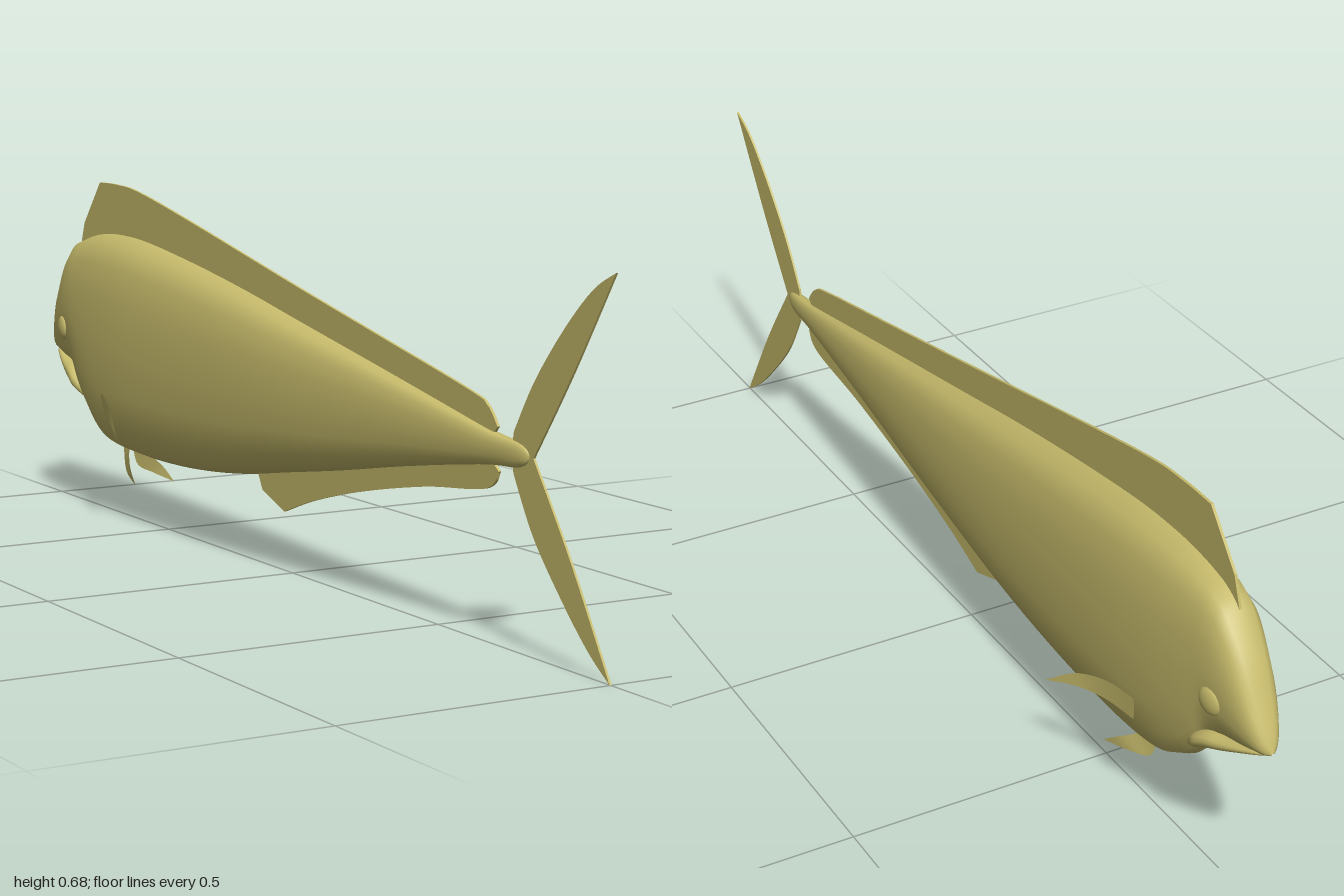
import * as THREE from 'three';

const skin = new THREE.MeshStandardMaterial({ color: 0xc8bc6c });
skin.name = 'olive gold skin';
const finSkin = skin.clone();
finSkin.name = 'olive gold fin';
finSkin.side = THREE.DoubleSide;

// Smooth closed hull through stations [z, top, bottom, halfWidth]
function loft(stations, steps, sides = 16) {
  const heights = new THREE.CatmullRomCurve3(
    stations.map(([z, t, b]) => new THREE.Vector3(t, b, z)), false, 'catmullrom', 0.5);
  const widths = new THREE.CatmullRomCurve3(
    stations.map(([z, , , w]) => new THREE.Vector3(w, 0, z)), false, 'catmullrom', 0.5);
  const bulge = (v, e) => Math.sign(v) * Math.abs(v) ** e;
  const pos = [], index = [];
  for (let i = 0; i <= steps; i++) {
    const h = heights.getPoint(i / steps), w = widths.getPoint(i / steps).x;
    for (let j = 0; j < sides; j++) {
      const a = (j / sides) * Math.PI * 2;
      pos.push(w * bulge(Math.sin(a), 0.72),
        (h.x + h.y) / 2 + (h.x - h.y) / 2 * bulge(Math.cos(a), 0.9), h.z);
      if (i === steps) continue;
      const p = i * sides + j, q = i * sides + (j + 1) % sides;
      index.push(p, p + sides, q, q, p + sides, q + sides);
    }
  }
  const g = new THREE.BufferGeometry();
  g.setAttribute('position', new THREE.Float32BufferAttribute(pos, 3));
  g.setIndex(index);
  g.computeVertexNormals();
  return g;
}

// Thin upright fin on the centre plane, drawn in (z, y)
function uprightFin(shape, depth = 0.005) {
  const g = new THREE.ExtrudeGeometry(shape, { depth, bevelEnabled: false, curveSegments: 16 });
  g.rotateY(-Math.PI / 2);
  g.translate(depth / 2, 0, 0);
  return g;
}

// Curved blade stretched between two edge curves
function bladeFin(edgeA, edgeB, side) {
  const [a, b] = [edgeA, edgeB].map(e =>
    new THREE.CatmullRomCurve3(e.map(([x, y, z]) => new THREE.Vector3(x * side, y, z))));
  const n = 14, pos = [], index = [];
  for (let i = 0; i <= n; i++) {
    pos.push(...a.getPoint(i / n).toArray(), ...b.getPoint(i / n).toArray());
    const k = i * 2;
    if (i < n) index.push(k, k + 1, k + 2, k + 1, k + 3, k + 2);
  }
  const g = new THREE.BufferGeometry();
  g.setAttribute('position', new THREE.Float32BufferAttribute(pos, 3));
  g.setIndex(index);
  g.computeVertexNormals();
  return g;
}

const v2 = pts => pts.map(([x, y]) => new THREE.Vector2(x, y));

export function createModel() {
  const fish = new THREE.Group();
  fish.name = 'fish';
  const add = (name, geometry, material = skin) => {
    const m = new THREE.Mesh(geometry, material);
    m.name = name;
    fish.add(m);
    return m;
  };

  // Body from snout to tail root
  add('body', loft([
    [-1, 0.323, 0.319, 0.002], [-0.99, 0.35, 0.315, 0.016], [-0.97, 0.395, 0.311, 0.029],
    [-0.935, 0.467, 0.303, 0.041], [-0.89, 0.532, 0.292, 0.05], [-0.855, 0.556, 0.272, 0.055],
    [-0.82, 0.566, 0.222, 0.059], [-0.775, 0.573, 0.178, 0.063], [-0.71, 0.577, 0.147, 0.067],
    [-0.6, 0.573, 0.135, 0.07], [-0.45, 0.555, 0.136, 0.069], [-0.3, 0.533, 0.146, 0.066],
    [-0.15, 0.508, 0.164, 0.062], [0, 0.48, 0.189, 0.056], [0.18, 0.447, 0.219, 0.046],
    [0.36, 0.414, 0.252, 0.035], [0.52, 0.384, 0.279, 0.025], [0.66, 0.358, 0.3, 0.016],
    [0.73, 0.35, 0.305, 0.012], [0.76, 0.343, 0.313, 0.008], [0.775, 0.33, 0.326, 0.001],
  ], 80));

  // Lower jaw tucked under the mouth line
  add('lowerJaw', loft([
    [-0.99, 0.318, 0.314, 0.002], [-0.975, 0.318, 0.307, 0.016], [-0.94, 0.31, 0.291, 0.029],
    [-0.9, 0.302, 0.272, 0.041], [-0.865, 0.296, 0.256, 0.049], [-0.835, 0.28, 0.238, 0.05],
    [-0.8, 0.25, 0.22, 0.03], [-0.78, 0.235, 0.23, 0.002],
  ], 28));

  // Long dorsal fin
  const dorsal = new THREE.Shape();
  dorsal.moveTo(0.66, 0.345);
  dorsal.lineTo(0.68, 0.366);
  dorsal.splineThru(v2([[0.65, 0.398], [0.594, 0.417], [0.3, 0.478], [0, 0.54],
    [-0.4, 0.625], [-0.62, 0.668], [-0.72, 0.677], [-0.795, 0.677]]));
  dorsal.lineTo(-0.87, 0.588);
  dorsal.lineTo(-0.89, 0.53);
  dorsal.lineTo(-0.84, 0.5);
  add('dorsalFin', uprightFin(dorsal));

  // Anal fin
  const anal = new THREE.Shape();
  anal.moveTo(0.66, 0.31);
  anal.lineTo(0.685, 0.292);
  anal.splineThru(v2([[0.645, 0.258], [0.46, 0.233], [0.25, 0.192], [0.085, 0.15], [-0.027, 0.112]]));
  anal.lineTo(-0.11, 0.14);
  anal.lineTo(-0.13, 0.175);
  anal.lineTo(-0.12, 0.2);
  add('analFin', uprightFin(anal));

  // Forked tail
  const tail = new THREE.Shape();
  tail.moveTo(0.72, 0.33);
  tail.lineTo(0.727, 0.365);
  tail.splineThru(v2([[0.785, 0.455], [0.865, 0.547], [0.94, 0.615], [1, 0.647]]));
  tail.splineThru(v2([[0.89, 0.478], [0.783, 0.328]]));
  tail.splineThru(v2([[0.89, 0.177], [1, 0]]));
  tail.splineThru(v2([[0.94, 0.042], [0.865, 0.112], [0.785, 0.2], [0.727, 0.295]]));
  add('tailFin', uprightFin(tail, 0.004));

  // Paired fins and eyes
  for (const [label, s] of [['left', 1], ['right', -1]]) {
    add(label + 'PectoralFin', bladeFin(
      [[0.06, 0.25, -0.685], [0.08, 0.262, -0.635], [0.1, 0.242, -0.56], [0.12, 0.19, -0.487]],
      [[0.054, 0.2, -0.67], [0.078, 0.218, -0.62], [0.1, 0.215, -0.56], [0.12, 0.19, -0.487]], s), finSkin);
    add(label + 'PelvicFin', bladeFin(
      [[0.01, 0.15, -0.68], [0.014, 0.107, -0.665], [0.028, 0.095, -0.625], [0.044, 0.084, -0.56]],
      [[0.014, 0.15, -0.645], [0.025, 0.13, -0.625], [0.037, 0.11, -0.595], [0.044, 0.084, -0.56]], s), finSkin);
    const eye = add(label + 'Eye', new THREE.SphereGeometry(0.026, 20, 14));
    eye.scale.x = 0.4;
    eye.position.set(s * 0.046, 0.37, -0.885);
    eye.rotation.y = s * 0.2;
  }
  return fish;
}
